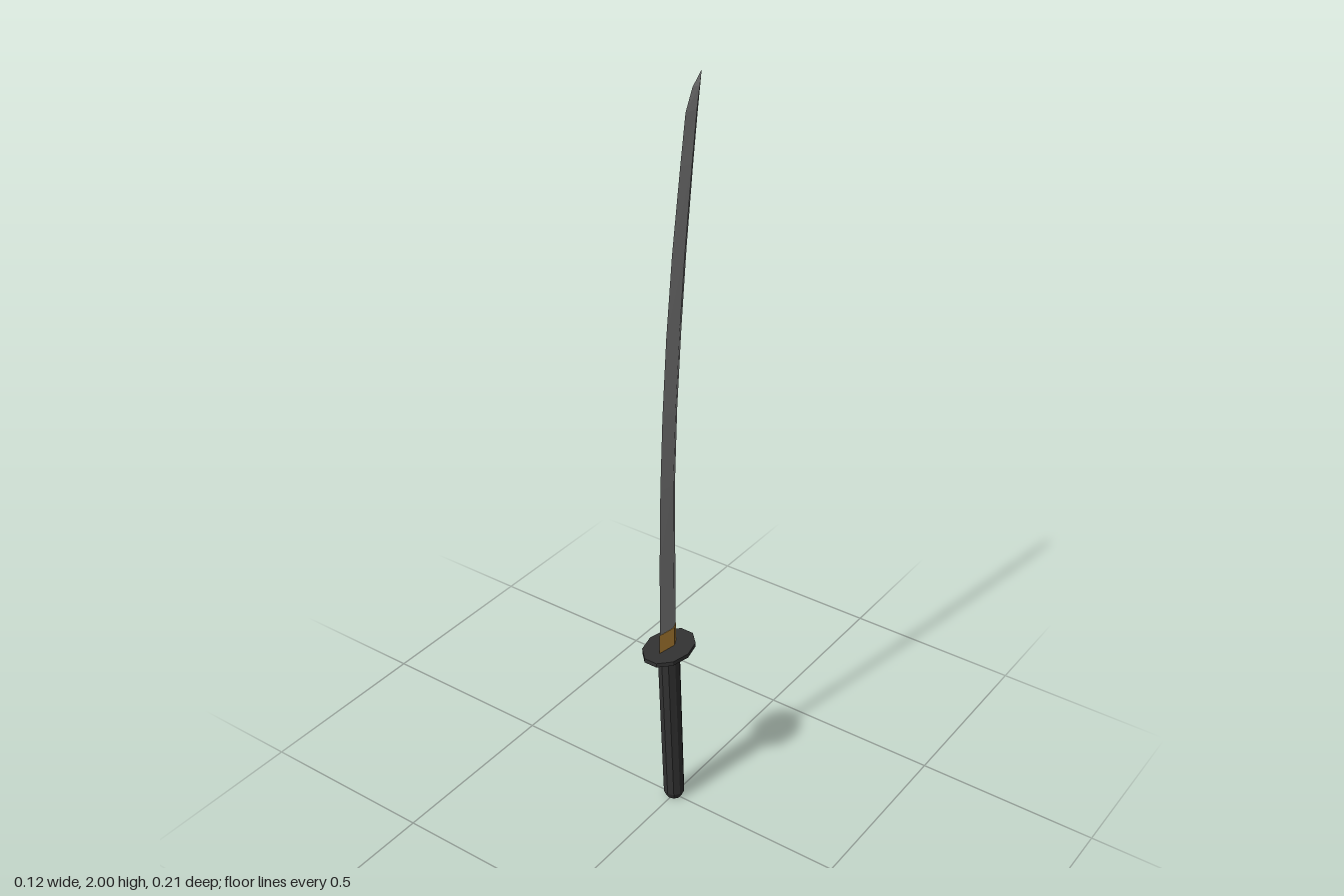
import * as THREE from 'three';

const material = (color) =>
  new THREE.MeshStandardMaterial({ color, flatShading: true, side: THREE.DoubleSide });

// Skin a stack of rings (bottom to top, counterclockwise seen from above), with end caps.
function loft(name, rings, mat) {
  const n = rings[0].length;
  const position = rings.flat(2);
  const index = [];
  for (let i = 0; i < rings.length - 1; i++) {
    for (let j = 0; j < n; j++) {
      const a = i * n + j;
      const b = i * n + ((j + 1) % n);
      index.push(a, b, b + n, a, b + n, a + n);
    }
  }
  const top = (rings.length - 1) * n;
  for (let j = 1; j < n - 1; j++) {
    index.push(0, j + 1, j, top, top + j, top + j + 1);
  }
  const geometry = new THREE.BufferGeometry();
  geometry.setAttribute('position', new THREE.Float32BufferAttribute(position, 3));
  geometry.setIndex(index);
  geometry.computeVertexNormals();
  const mesh = new THREE.Mesh(geometry, mat);
  mesh.name = name;
  return mesh;
}

// Diamond section: sharp edge in front, thick ridge near the back, pointed spine.
function bladeRing(y, edge, spine, half) {
  const ridge = spine + (edge - spine) * 0.3;
  return [[0, y, edge], [half, y, ridge], [0, y, spine], [-half, y, ridge]];
}

// Ten-sided oval section for the grip.
function gripRing(y, z, rx, rz) {
  return Array.from({ length: 10 }, (_, i) => {
    const t = (i / 10) * Math.PI * 2;
    return [Math.sin(t) * rx, y + Math.cos(t) * rz * 0.05, z + Math.cos(t) * rz];
  });
}

export function createModel() {
  const group = new THREE.Group();
  const black = material(0x333333);

  // Curved blade: height, cutting edge z, spine z, half thickness
  const stations = [
    [0.56, 0.062, -0.007, 0.008],
    [0.8, 0.061, -0.005, 0.008],
    [1.0, 0.057, -0.004, 0.008],
    [1.2, 0.047, -0.013, 0.008],
    [1.4, 0.031, -0.029, 0.008],
    [1.6, 0.008, -0.049, 0.008],
    [1.8, -0.023, -0.074, 0.0075],
    [1.92, -0.043, -0.091, 0.007],
    [1.97, -0.069, -0.099, 0.005],
    [2.0, -0.103, -0.1035, 0.0003],
  ];
  group.add(loft('blade', stations.map((s) => bladeRing(...s)), material(0x8c8c8c)));

  // Collar at the blade root
  group.add(loft('bladeCollar', [
    bladeRing(0.51, 0.064, -0.009, 0.01),
    bladeRing(0.572, 0.064, -0.009, 0.01),
  ], material(0xc8923c)));

  // Ten-sided oval guard
  const guard = new THREE.Mesh(new THREE.CylinderGeometry(1, 1, 0.012, 10, 1, false, Math.PI / 2), black);
  guard.name = 'guard';
  guard.scale.set(0.06, 1, 0.0847);
  guard.position.set(0, 0.511, 0.0225);
  group.add(guard);

  // Slanted grip with a bevelled butt
  group.add(loft('grip', [
    gripRing(0.002, 0.001, 0.021, 0.021),
    gripRing(0.02, 0, 0.028, 0.03),
    gripRing(0.508, 0.024, 0.028, 0.032),
  ], black));

  return group;
}
